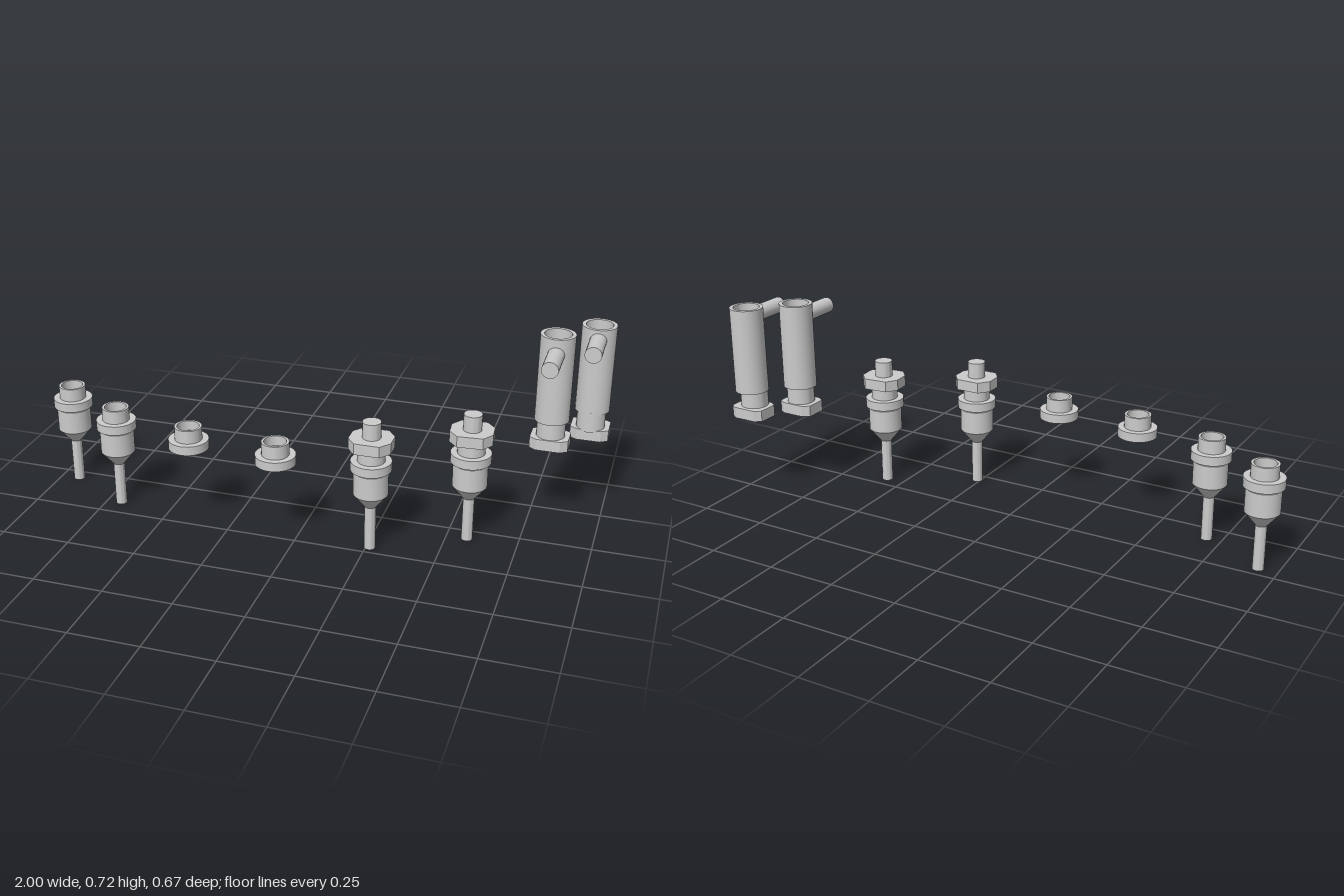
import * as THREE from 'three';
import { toCreasedNormals } from 'three/addons/utils/BufferGeometryUtils.js';

const material = new THREE.MeshStandardMaterial({ color: 0xcccccc });

function addMesh(parent, name, geometry) {
  const mesh = new THREE.Mesh(geometry, material);
  mesh.name = name;
  parent.add(mesh);
  return mesh;
}

// Turned part: profile of [radius, height] points running from the bottom axis outward and up
function turned(profile, sides = 32) {
  const points = profile.map(([r, y]) => new THREE.Vector2(r, y));
  return toCreasedNormals(new THREE.LatheGeometry(points, sides), 0.5);
}

// Flat eight-sided plate with chamfered corners, lying from y0 to y1
function plate(hx, hz, cx, cz, y0, y1) {
  const shape = new THREE.Shape([
    [hx, -hz + cz], [hx, hz - cz], [hx - cx, hz], [-hx + cx, hz],
    [-hx, hz - cz], [-hx, -hz + cz], [-hx + cx, -hz], [hx - cx, -hz],
  ].map(([x, z]) => new THREE.Vector2(x, z)));
  const geometry = new THREE.ExtrudeGeometry(shape, { depth: y1 - y0, bevelEnabled: false });
  return geometry.rotateX(-Math.PI / 2).translate(0, y0, 0);
}

// Stem, cone and barrel below the collar
function addBarrel(parent) {
  addMesh(parent, 'barrel', turned([
    [0, 0], [0.02, 0], [0.02, 0.163], [0.061, 0.213], [0.061, 0.298], [0, 0.298],
  ]));
}

// Flanged cup, recessed above and below
function addCollar(parent) {
  addMesh(parent, 'collar', turned([
    [0, 0.33], [0.05, 0.33], [0.05, 0.305], [0.071, 0.305], [0.071, 0.338],
    [0.048, 0.338], [0.048, 0.386], [0.039, 0.386], [0.039, 0.35], [0, 0.35],
  ]));
}

// Pin standing in the cup, with a nut around it
function addPin(parent, nutTurn) {
  addMesh(parent, 'pin', turned([[0, 0.35], [0.032, 0.35], [0.032, 0.482], [0, 0.482]]));
  addMesh(parent, 'nut', plate(0.074, 0.067, 0.03, 0.038, 0.384, 0.424)).rotation.y = nutTurn;
}

// Open-topped tower with a foot and a forward spout
function addTower(parent, spoutY, spoutEnd, neckShift) {
  addMesh(parent, 'foot', plate(0.067, 0.0535, 0.025, 0.0165, 0.305, 0.346));
  addMesh(parent, 'neck', turned([[0, 0.34], [0.05, 0.34], [0.05, 0.415], [0, 0.415]]))
    .position.z = neckShift;
  addMesh(parent, 'towerBody', turned([
    [0, 0.407], [0.0605, 0.407], [0.0605, 0.723], [0.047, 0.723], [0.047, 0.55], [0, 0.55],
  ]));
  const start = 0.05;
  const spout = new THREE.CylinderGeometry(0.029, 0.029, spoutEnd - start, 24);
  spout.rotateX(Math.PI / 2);
  addMesh(parent, 'spout', spout).position.set(0.003, spoutY, (start + spoutEnd) / 2);
}

export function createModel() {
  const model = new THREE.Group();
  model.name = 'fittingsRow';

  const fittings = [
    { x: -0.93, z: 0.045, barrel: true },
    { x: -0.695, z: 0.173, barrel: true },
    { x: -0.387, z: 0.242 },
    { x: -0.06, z: 0.265 },
    { x: 0.263, z: 0.213, barrel: true, pin: true, turn: 0 },
    { x: 0.572, z: 0.053, barrel: true, pin: true, turn: 0.08 },
  ];
  fittings.forEach(({ x, z, barrel, pin, turn }) => {
    const group = new THREE.Group();
    group.name = pin ? 'pinFitting' : barrel ? 'barrelFitting' : 'collarFitting';
    group.position.set(x, 0, z);
    addCollar(group);
    if (barrel) addBarrel(group);
    if (pin) addPin(group, turn);
    model.add(group);
  });

  const towers = [
    { x: 0.81, z: -0.149, spoutY: 0.666, spoutEnd: 0.191, neckShift: 0 },
    { x: 0.933, z: -0.277, spoutY: 0.683, spoutEnd: 0.189, neckShift: 0.011 },
  ];
  towers.forEach(({ x, z, spoutY, spoutEnd, neckShift }) => {
    const group = new THREE.Group();
    group.name = 'tower';
    group.position.set(x, 0, z);
    addTower(group, spoutY, spoutEnd, neckShift);
    model.add(group);
  });

  return model;
}
